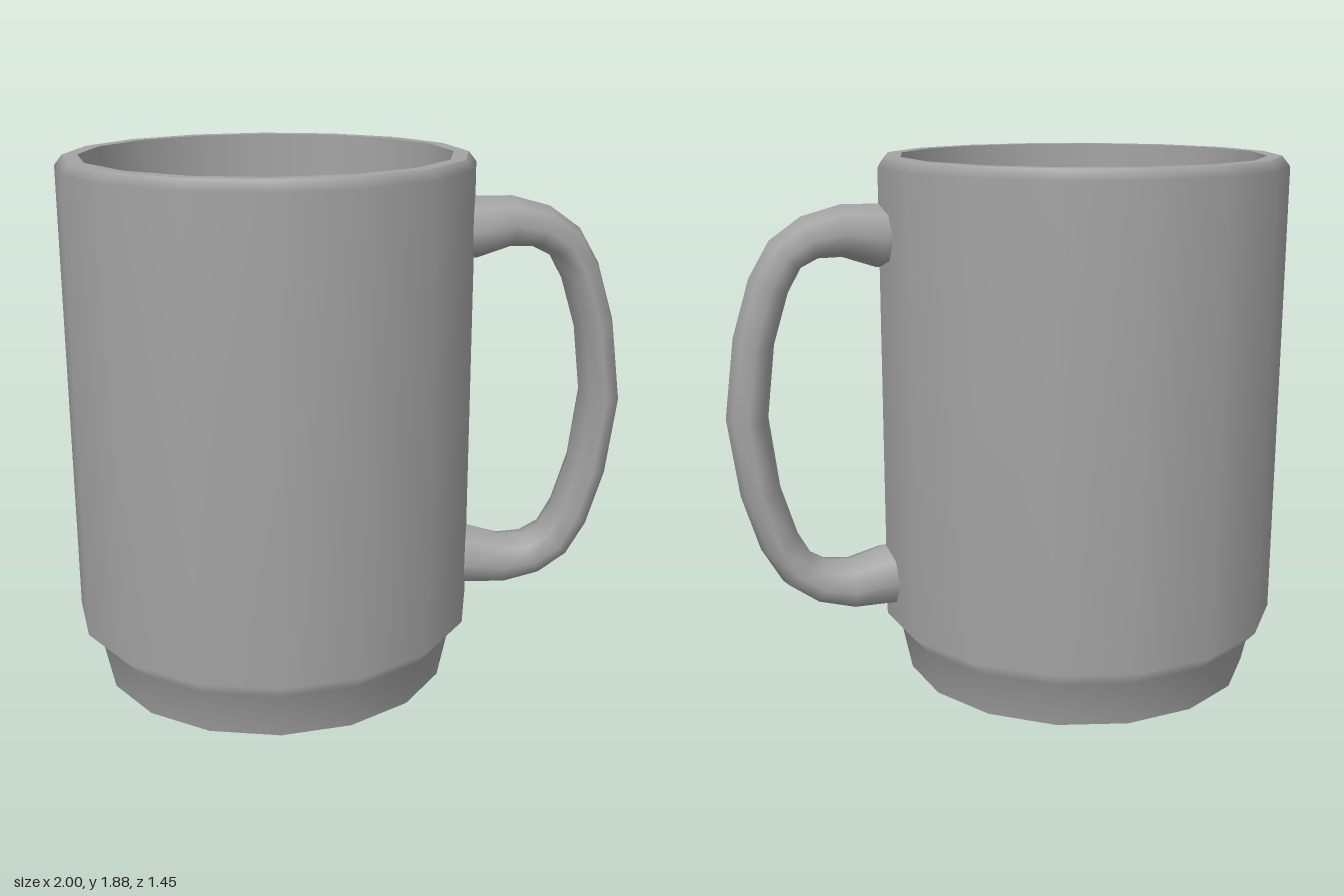
import * as THREE from 'three';

const ceramic = new THREE.MeshStandardMaterial({ color: 0xa3a3a3 });
ceramic.name = 'grey ceramic';

const SIDES = 16;
const CUP_X = -0.275;

// Surface of revolution from [radius, height] pairs, smooth along its profile
function turned(name, profile) {
  const points = profile.map(([r, y]) => new THREE.Vector2(r, y));
  const mesh = new THREE.Mesh(new THREE.LatheGeometry(points, SIDES), ceramic);
  mesh.name = name;
  return mesh;
}

// Octagonal sections swept along a curve in the xy plane.
// Each station is [x, y, half thickness, half width].
function sweptHandle(stations) {
  const around = 8;
  const positions = [];
  const index = [];
  stations.forEach(([x, y, thick, wide], i) => {
    const a = stations[Math.max(i - 1, 0)];
    const b = stations[Math.min(i + 1, stations.length - 1)];
    const t = new THREE.Vector2(b[0] - a[0], b[1] - a[1]).normalize();
    for (let j = 0; j < around; j++) {
      const angle = (j / around) * Math.PI * 2;
      const out = Math.cos(angle) * thick;
      positions.push(x - t.y * out, y + t.x * out, Math.sin(angle) * wide);
      if (i < stations.length - 1) {
        const p = i * around + j;
        const q = i * around + ((j + 1) % around);
        index.push(p, q, p + around, q, q + around, p + around);
      }
    }
  });
  const geometry = new THREE.BufferGeometry();
  geometry.setAttribute('position', new THREE.Float32BufferAttribute(positions, 3));
  geometry.setIndex(index);
  geometry.computeVertexNormals();
  return geometry;
}

export function createModel() {
  const mug = new THREE.Group();
  mug.name = 'mug';

  // Cup: separate turned bands keep the rim and base edges crisp
  const cup = new THREE.Group();
  cup.name = 'cup';
  cup.position.x = CUP_X;
  cup.add(
    turned('base', [[0, 0], [0.635, 0]]),
    turned('outerWall', [[0.635, 0], [0.67, 0.165], [0.725, 0.225], [0.725, 1.85], [0.697, 1.885]]),
    turned('rim', [[0.697, 1.885], [0.645, 1.885]]),
    turned('innerWall', [[0.645, 1.885], [0.618, 0.12]]),
    turned('floor', [[0.618, 0.12], [0, 0.12]])
  );
  mug.add(cup);

  // Handle: upper half, then mirrored about mid height
  const upper = [
    [0.39, 1.62, 0.11, 0.135],
    [0.45, 1.62, 0.11, 0.134],
    [0.58, 1.64, 0.09, 0.126],
    [0.69, 1.62, 0.077, 0.125],
    [0.775, 1.565, 0.071, 0.125],
    [0.835, 1.46, 0.071, 0.125],
    [0.893, 1.27, 0.071, 0.125],
  ];
  const lower = upper.map(([x, y, t, w]) => [x, 2 - y, t, w]).reverse();
  const handle = new THREE.Mesh(
    sweptHandle([...upper, [0.927, 1, 0.073, 0.125], ...lower]),
    ceramic
  );
  handle.name = 'handle';
  mug.add(handle);

  return mug;
}
